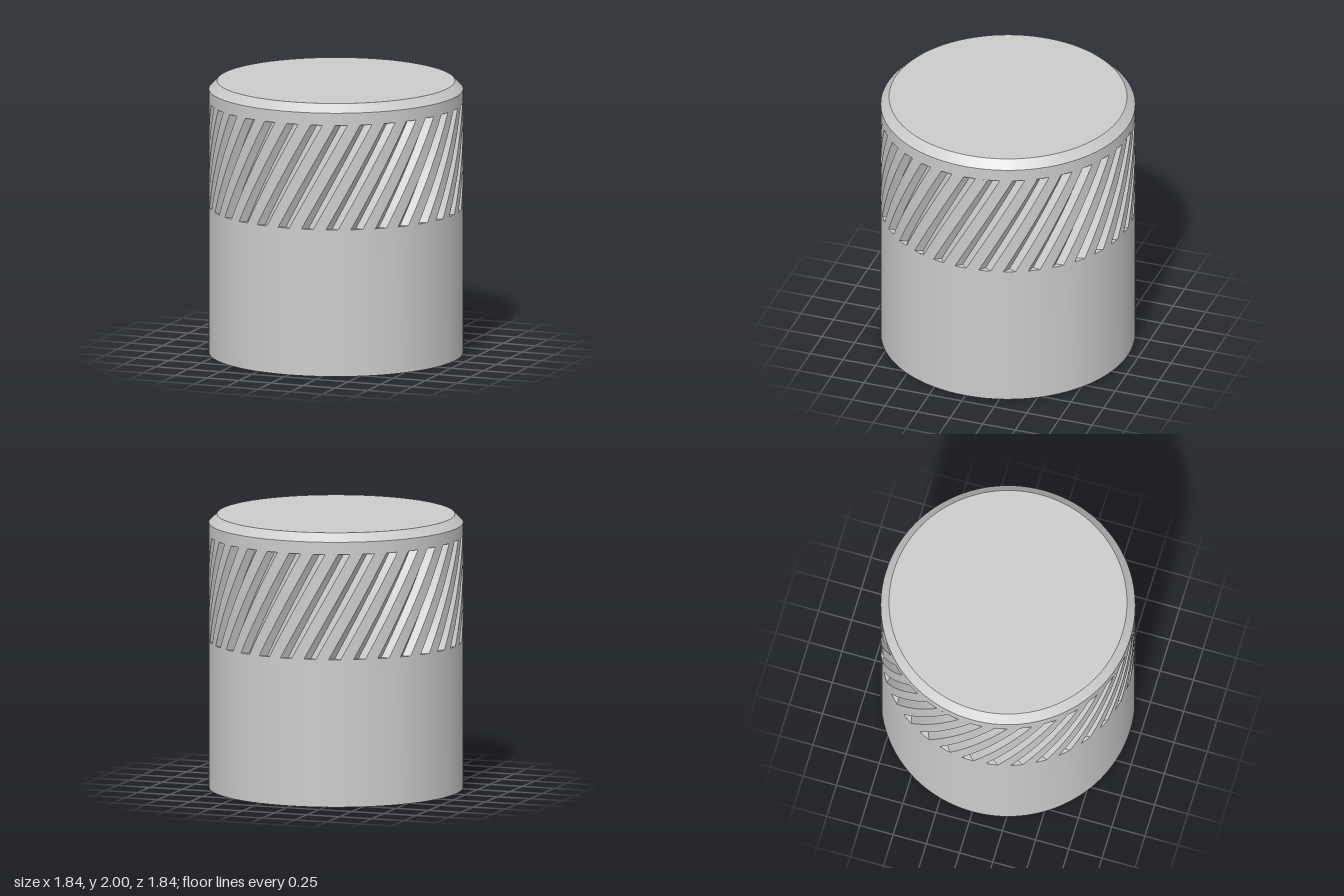
import * as THREE from 'three';
import { toCreasedNormals } from 'three/addons/utils/BufferGeometryUtils.js';

const R = 0.92;                     // outer radius
const GRIP_LOW = 1.08, GRIP_HIGH = 1.85;
const GROOVES = 32, TWIST = 0.467, PHASE = -0.04;
const HALF = 0.048, DEPTH = 0.042;  // groove half angle and depth

const material = new THREE.MeshStandardMaterial({ color: 0xcccccc });

function addMesh(group, name, geometry) {
  const mesh = new THREE.Mesh(toCreasedNormals(geometry, 0.4), material);
  mesh.name = name;
  group.add(mesh);
}

function lathe(points) {
  return new THREE.LatheGeometry(points.map(([x, y]) => new THREE.Vector2(x, y)), 160);
}

// Band of helical V-grooves with closed ends
function grooveBand() {
  const rows = 24, pitch = (Math.PI * 2) / GROOVES;
  const pos = [];
  const point = (angle, r, t) => {
    const a = angle + PHASE + TWIST * t;
    return [r * Math.sin(a), GRIP_LOW + (GRIP_HIGH - GRIP_LOW) * t, r * Math.cos(a)];
  };
  const tri = (a, b, c) => pos.push(...a, ...b, ...c);

  // One pitch: left lip, valley, right lip, then the land up to the next lip
  const land = pitch - 2 * HALF;
  const section = [[-HALF, R], [0, R - DEPTH], [HALF, R],
    [HALF + land / 3, R], [HALF + 2 * land / 3, R], [pitch - HALF, R]];

  for (let g = 0; g < GROOVES; g++) {
    const base = g * pitch;
    for (let j = 0; j < rows; j++) {
      const t0 = j / rows, t1 = (j + 1) / rows;
      for (let i = 0; i < section.length - 1; i++) {
        const [a0, r0] = section[i], [a1, r1] = section[i + 1];
        const a = point(base + a0, r0, t0), b = point(base + a1, r1, t0);
        const c = point(base + a1, r1, t1), d = point(base + a0, r0, t1);
        tri(a, b, c);
        tri(a, c, d);
      }
    }
    // End walls: the lower faces up, the upper faces down
    for (const t of [0, 1]) {
      const valley = point(base, R - DEPTH, t), rim = point(base, R, t);
      const left = point(base - HALF, R, t), right = point(base + HALF, R, t);
      if (t === 0) {
        tri(valley, left, rim);
        tri(valley, rim, right);
      } else {
        tri(valley, rim, left);
        tri(valley, right, rim);
      }
    }
  }
  const geometry = new THREE.BufferGeometry();
  geometry.setAttribute('position', new THREE.Float32BufferAttribute(pos, 3));
  return geometry;
}

export function createModel() {
  const knob = new THREE.Group();
  knob.name = 'knob';

  // Plain lower body with a stepped blind bore in its base
  addMesh(knob, 'bodyWithBore', lathe([
    [0, 1.4], [0.31, 1.4], [0.31, 0.42], [0.474, 0.42], [0.474, 0], [R, 0], [R, GRIP_LOW],
  ]));

  addMesh(knob, 'gripBand', grooveBand());

  // Flat top with chamfered rim
  addMesh(knob, 'chamferedTop', lathe([[R, GRIP_HIGH], [R, 1.94], [0.86, 2], [0, 2]]));

  return knob;
}
